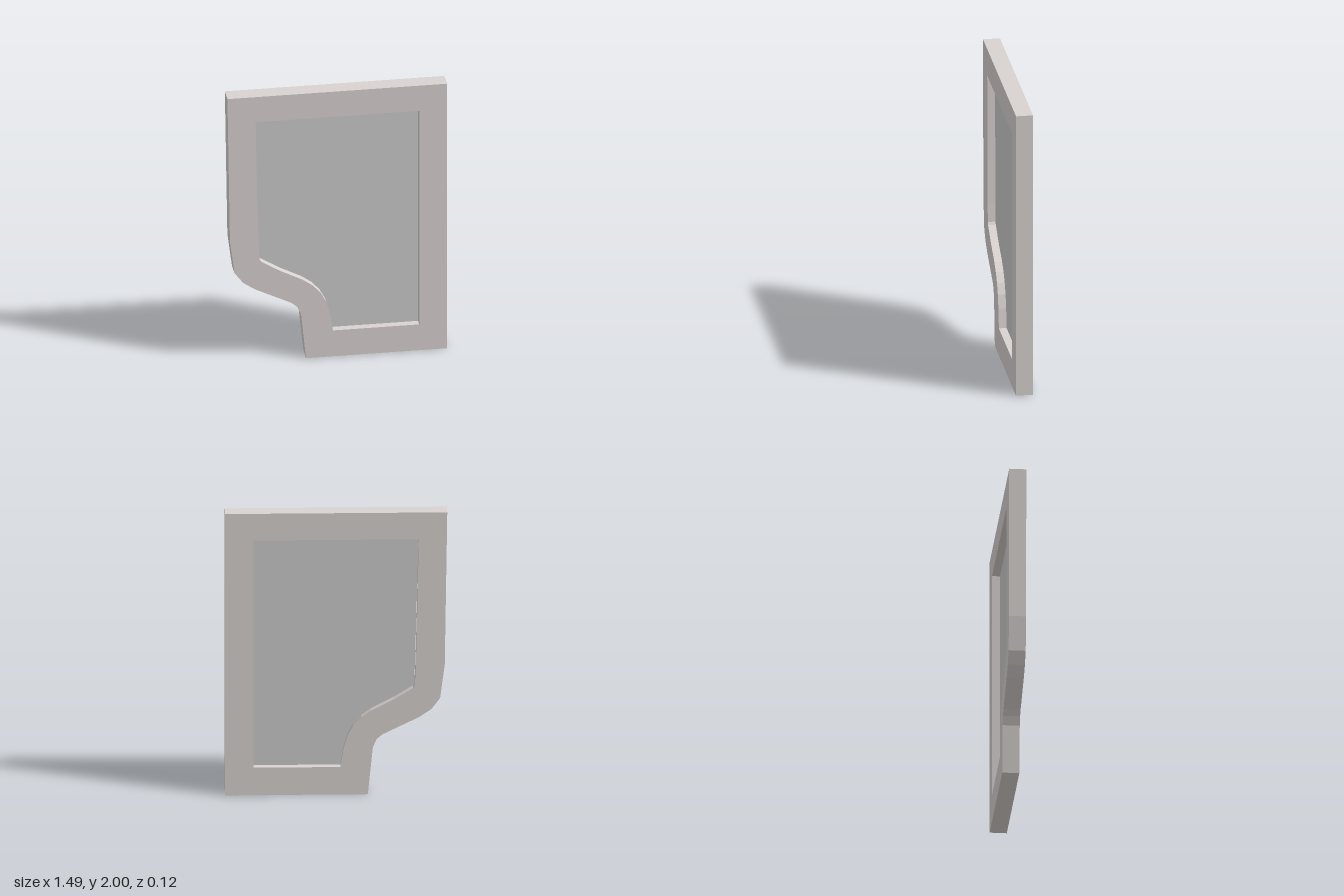
import * as THREE from 'three';

// Extrudes an outline (with an optional hole) centred on z = 0
function plate(name, outline, depth, color, hole) {
  const toPoints = (list) => list.map(([x, y]) => new THREE.Vector2(x, y));
  const shape = new THREE.Shape(toPoints(outline));
  if (hole) shape.holes.push(new THREE.Path(toPoints(hole)));
  const geometry = new THREE.ExtrudeGeometry(shape, { depth, bevelEnabled: false });
  geometry.translate(0, 0, -depth / 2);
  const mesh = new THREE.Mesh(geometry, new THREE.MeshStandardMaterial({ color }));
  mesh.name = name;
  return mesh;
}

export function createModel() {
  const group = new THREE.Group();
  group.name = 'windowPane';

  // Outer edge of the frame, with the swept notch at lower left
  const outer = [
    [0.745, 0], [0.745, 2], [-0.745, 2], [-0.728, 0.92], [-0.697, 0.68],
    [-0.638, 0.602], [-0.558, 0.547], [-0.31, 0.425], [-0.272, 0.392],
    [-0.246, 0.335], [-0.212, 0],
  ];

  // Lower sweep shared by the opening and the glass
  const sweep = [
    [-0.39, 0.675], [-0.235, 0.595], [-0.167, 0.546], [-0.114, 0.488],
    [-0.077, 0.419], [-0.05, 0.329], [-0.029, 0.195],
  ];
  const corners = [[0.556, 0.195], [0.556, 1.81], [-0.554, 1.81]];
  const opening = [
    ...corners, [-0.542, 1.2], [-0.534, 0.9], [-0.528, 0.772], [-0.516, 0.753], ...sweep,
  ];
  const glass = [...corners, [-0.525, 0.76], ...sweep];

  group.add(plate('frame', outer, 0.115, 0xd8d2d0, opening));
  group.add(plate('glass', glass, 0.01, 0xcccccc));
  return group;
}
